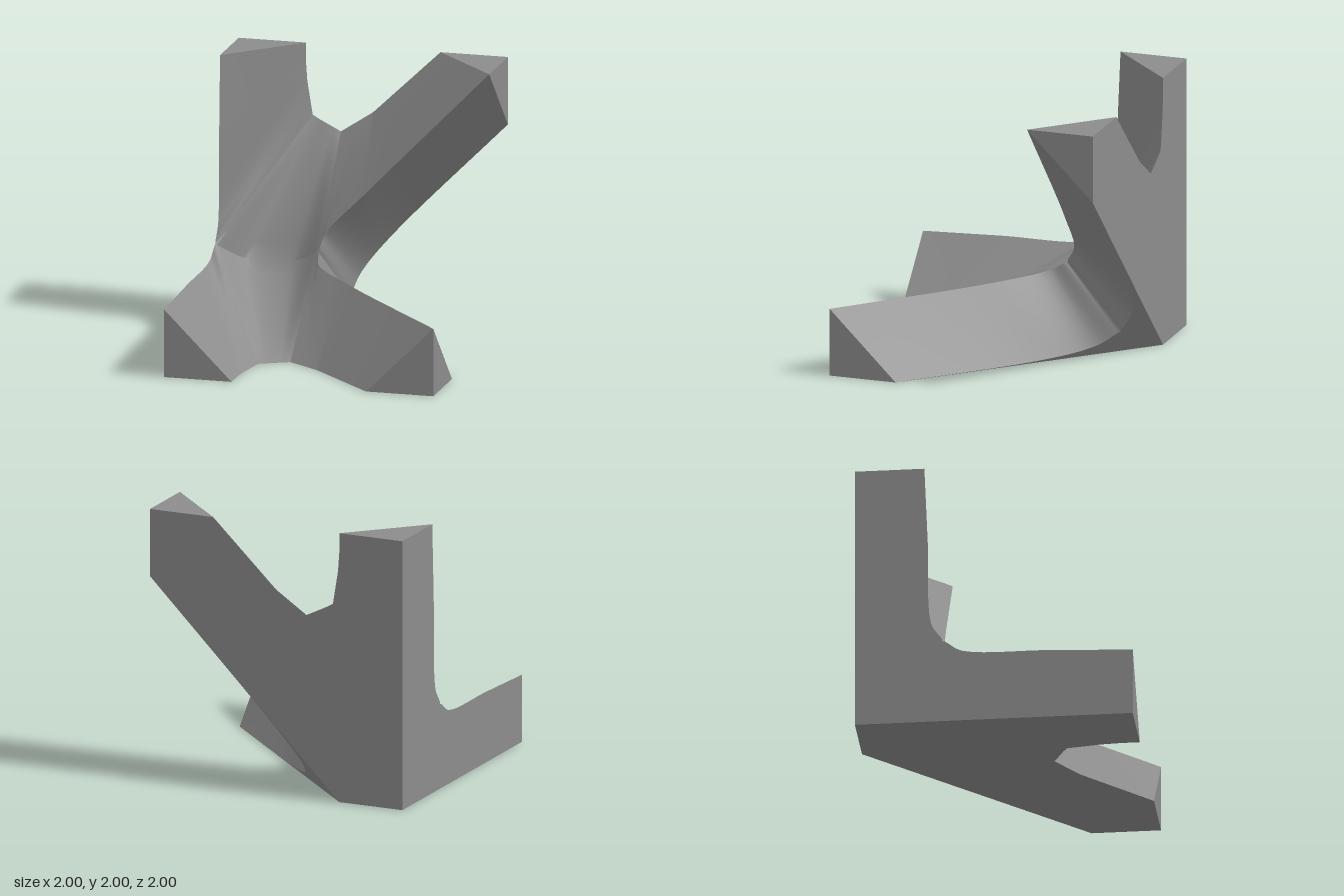
import * as THREE from 'three';
import { mergeGeometries, mergeVertices } from 'three/addons/utils/BufferGeometryUtils.js';

// Working coordinates are (x, y, d), with d = depth from the back plane (z + 1).
// The piece is mirrored by swapping y and d.
const V = (x, y, d) => new THREE.Vector3(x, y, d);
const swap = (p) => V(p.x, p.z, p.y);
const COLS = 90;
const ROWS = 8;

// Builds an indexed geometry whose average normal agrees with the outward hint
function surface(points, index, outward) {
  const sum = V(0, 0, 0);
  for (let i = 0; i < index.length; i += 3) {
    const [a, b, c] = [0, 1, 2].map((k) => points[index[i + k]]);
    sum.add(b.clone().sub(a).cross(c.clone().sub(a)));
  }
  if (sum.dot(outward) < 0) index.reverse();
  const g = new THREE.BufferGeometry();
  const pos = points.flatMap((p) => [p.x, p.y, p.z - 1]);
  g.setAttribute('position', new THREE.Float32BufferAttribute(pos, 3));
  g.setIndex(index);
  g.computeVertexNormals();
  return g;
}

// Straight-ruled skin between two curves with equal point counts
function loft(a, b, outward) {
  const points = [];
  const index = [];
  const n = a.length;
  for (let r = 0; r <= ROWS; r++) {
    for (let i = 0; i < n; i++) points.push(a[i].clone().lerp(b[i], r / ROWS));
  }
  for (let r = 0; r < ROWS; r++) {
    for (let i = 0; i < n - 1; i++) {
      const k = r * n + i;
      index.push(k, k + 1, k + n, k + 1, k + n + 1, k + n);
    }
  }
  return surface(points, index, outward);
}

// Flat panel, triangulated after dropping one axis
function panel(points, drop, outward) {
  const axes = ['x', 'y', 'z'].filter((k) => k !== drop);
  const flat = points.map((p) => new THREE.Vector2(p[axes[0]], p[axes[1]]));
  return surface(points, THREE.ShapeUtils.triangulateShape(flat, []).flat(), outward);
}

// Angular notch: linear interpolation through control points
function polyline(points, count) {
  return Array.from({ length: count + 1 }, (_, i) => {
    const s = (i / count) * (points.length - 1);
    const k = Math.min(Math.floor(s), points.length - 2);
    return points[k].clone().lerp(points[k + 1], s - k);
  });
}

export function createModel() {
  const group = new THREE.Group();
  const grey = new THREE.MeshStandardMaterial({ color: 0x8c8c8c, side: THREE.DoubleSide });
  grey.name = 'grey';
  const add = (name, geometry) => {
    const mesh = new THREE.Mesh(geometry, grey);
    mesh.name = name;
    group.add(mesh);
  };

  // Notch between the two upper arms, on the back plane
  const notch = polyline([
    V(-0.5, 2, 0), V(-0.5, 1.86, 0), V(-0.49, 1.72, 0), V(-0.45, 1.47, 0), V(-0.4, 1.44, 0),
    V(-0.3, 1.39, 0), V(-0.24, 1.36, 0), V(-0.12, 1.44, 0), V(0, 1.52, 0), V(0.5, 2, 0),
  ], COLS);

  // Ridge: down the left arm, along the central valley, up the diagonal arm
  const ridge = new THREE.CatmullRomCurve3([
    V(-1, 2, 0.5), V(-1, 1.4, 0.525), V(-1, 0.77, 0.55), V(-1, 0.63, 0.63), V(-0.8, 0.51, 0.51),
    V(-0.45, 0.52, 0.52), V(-0.24, 0.63, 0.63), V(-0.2, 0.75, 0.57), V(0.1, 1.07, 0.53), V(1, 2, 0.5),
  ]).getPoints(COLS);
  const third = COLS / 3;
  const leftEdge = ridge.slice(0, third + 1).map((p) => V(-1, p.y, p.z));
  const rightEdge = ridge.slice(2 * third);
  ridge.splice(0, third + 1, ...leftEdge);

  // Lower rim of the right-hand opening, lying on the sloped underside
  const rim = new THREE.CatmullRomCurve3([
    V(0, 0.19, 0.19), V(0, 0.36, 0.08), V(0, 0.64, 0.02), V(0, 1.5, 0),
  ]).getPoints(third).map((p) => {
    const d = Math.max(p.z, 0);
    return V(p.y + d - 0.5, p.y, d);
  });

  // Joins a half curve with its mirror image into one run
  const joined = (half) => [...half.slice(1).reverse(), ...half.map(swap)];
  const fullRight = [...rightEdge.slice(1).reverse(), ...rightEdge.map(swap)];
  const fullRim = joined(rim);

  // Curved four-armed front skin, smooth across the valley
  const halves = [
    loft(notch, ridge, V(0, 0, 1)),
    loft(notch.map(swap), ridge.map(swap), V(0, 1, 0)),
  ];
  halves.forEach((g) => g.deleteAttribute('normal'));
  const skin = mergeVertices(mergeGeometries(halves), 1e-4);
  skin.computeVertexNormals();
  add('frontSkin', skin);

  // Curved inside of the opening between the diagonal arms
  add('openingWall', loft(fullRight, fullRim, V(1, 0, 0)));

  // Sloped underside
  add('slopedUnderside', panel([V(-0.5, 0, 0), ...fullRim], 'x', V(1, -1, -1)));

  // Left side wall
  add('leftWall', panel([
    V(-1, 0, 0), V(-1, 2, 0), ...leftEdge, ...leftEdge.slice(0, -1).reverse().map(swap), V(-1, 0, 2),
  ], 'x', V(-1, 0, 0)));

  // Back wall and end faces, with their mirrored base and front counterparts
  const back = [V(-1, 0, 0), V(-1, 2, 0), ...notch, V(1, 2, 0), V(1, 1.5, 0), V(-0.5, 0, 0)];
  const straightEnd = [V(-1, 2, 0), V(-0.5, 2, 0), V(-1, 2, 0.5)];
  const diagonalEnd = [V(0.5, 2, 0), V(1, 2, 0), V(1, 2, 0.5)];
  const sideEnd = [V(1, 2, 0), V(1, 2, 0.5), V(1, 1.5, 0)];
  const flip = { x: 'x', y: 'z', z: 'y' };
  const pair = (name, mirrorName, points, drop, outward) => {
    add(name, panel(points, drop, outward));
    add(mirrorName, panel(points.map(swap), flip[drop], swap(outward)));
  };
  pair('backWall', 'base', back, 'z', V(0, 0, -1));
  pair('upperArmEnd', 'frontArmEnd', straightEnd, 'y', V(0, 1, 0));
  pair('upperDiagonalEnd', 'frontDiagonalEnd', diagonalEnd, 'y', V(0, 1, 0));
  pair('upperDiagonalSide', 'frontDiagonalSide', sideEnd, 'x', V(1, 0, 0));
  return group;
}
